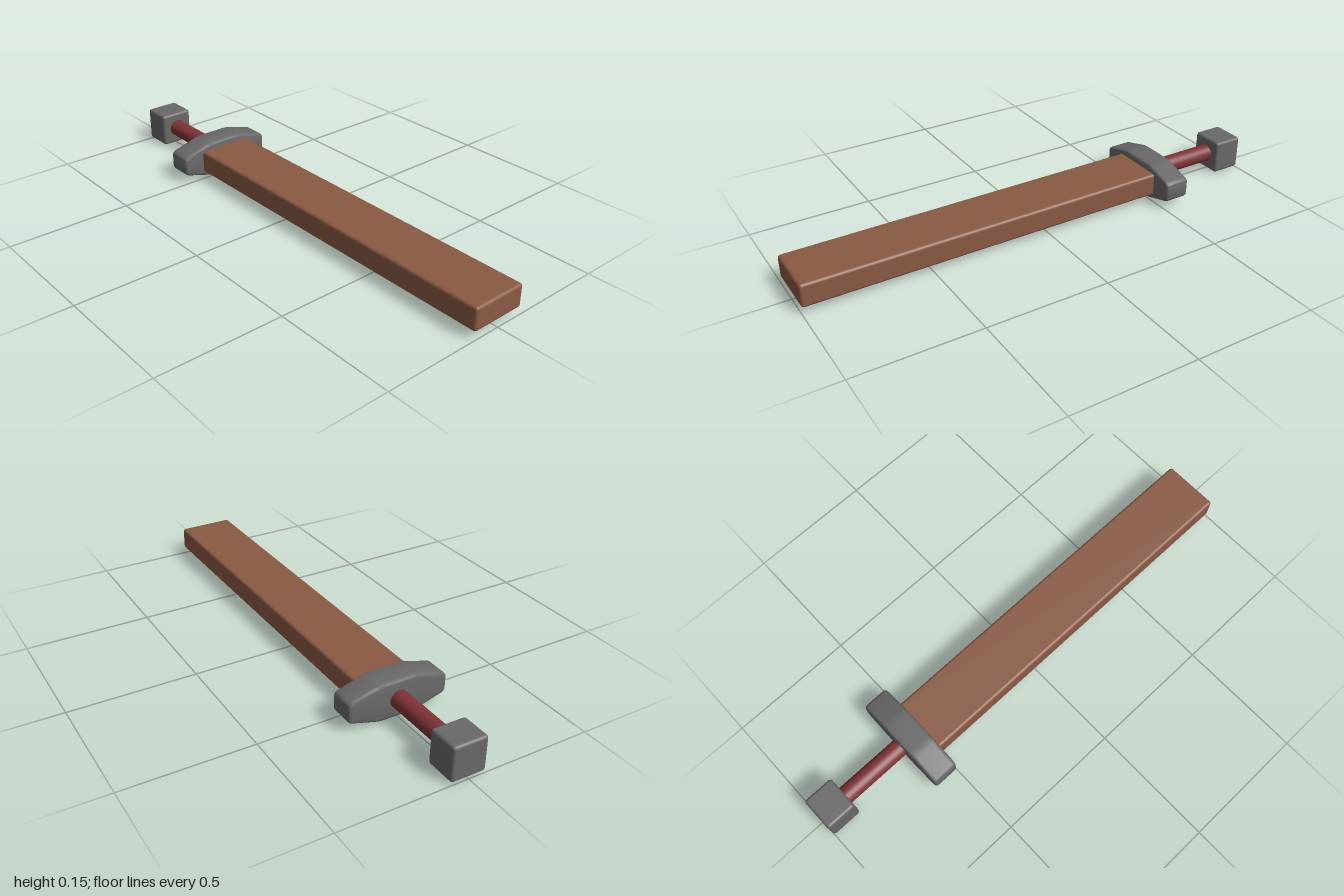
import * as THREE from 'three';
import { RoundedBoxGeometry } from 'three/addons/geometries/RoundedBoxGeometry.js';
import { toCreasedNormals } from 'three/addons/utils/BufferGeometryUtils.js';

const MID_Y = 0.077; // height of the sword's long axis

// Closed outline with every corner softened by a small curve
function roundedOutline(points, radius) {
  const shape = new THREE.Shape();
  const n = points.length;
  points.forEach((p, i) => {
    const toward = (q) => p.clone().add(q.clone().sub(p).setLength(radius));
    const a = toward(points[(i + n - 1) % n]);
    const b = toward(points[(i + 1) % n]);
    if (i === 0) shape.moveTo(a.x, a.y);
    else shape.lineTo(a.x, a.y);
    shape.quadraticCurveTo(p.x, p.y, b.x, b.y);
  });
  shape.closePath();
  return shape;
}

export function createModel() {
  const group = new THREE.Group();
  const wood = new THREE.MeshStandardMaterial({ color: 0x8a5a44 });
  const metal = new THREE.MeshStandardMaterial({ color: 0x696969 });
  const leather = new THREE.MeshStandardMaterial({ color: 0x7f3337 });

  const add = (name, geometry, material, z) => {
    const mesh = new THREE.Mesh(geometry, material);
    mesh.name = name;
    mesh.position.set(0, MID_Y, z);
    group.add(mesh);
  };

  // Blade: long plank, its root sunk into the guard
  add('blade', new RoundedBoxGeometry(0.23, 0.095, 1.52, 3, 0.012), wood, 0.24);

  // Guard: tapered octagonal bar with softened edges
  const corners = [
    [0.075, -0.076], [0.204, -0.039], [0.204, 0.039], [0.075, 0.076],
    [-0.075, 0.076], [-0.204, 0.039], [-0.204, -0.039], [-0.075, -0.076],
  ].map(([x, y]) => new THREE.Vector2(x, y));
  const bevel = 0.012;
  const guard = new THREE.ExtrudeGeometry(roundedOutline(corners, 0.018), {
    depth: 0.106 - 2 * bevel,
    bevelEnabled: true,
    bevelThickness: bevel,
    bevelSize: bevel,
    bevelOffset: -bevel,
    bevelSegments: 3,
    curveSegments: 4,
  });
  guard.center();
  add('guard', toCreasedNormals(guard, 0.7), metal, -0.553);

  // Grip: round rod between guard and pommel
  const grip = new THREE.CylinderGeometry(0.036, 0.036, 0.32, 32);
  grip.rotateX(Math.PI / 2);
  add('grip', grip, leather, -0.74);

  // Pommel: softened block
  add('pommel', new RoundedBoxGeometry(0.14, 0.14, 0.125, 3, 0.012), metal, -0.9375);

  return group;
}
